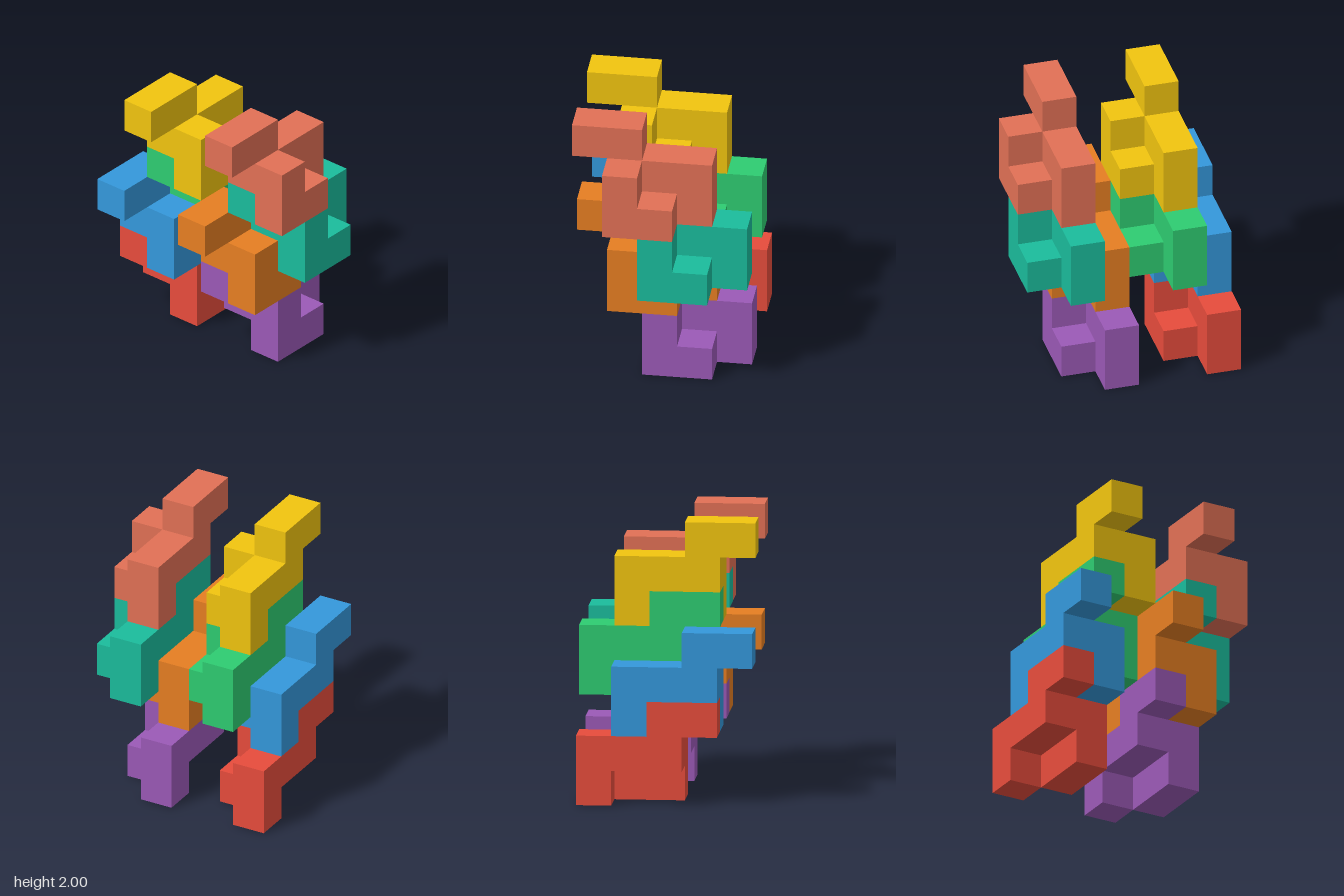
import * as THREE from 'three';
import { mergeGeometries } from 'three/addons/utils/BufferGeometryUtils.js';

const U = 0.25; // edge of one cube cell

// Slab one cell wide, cut from a [z, y] outline and placed in the given x column
function slab(outline, column) {
  const shape = new THREE.Shape(outline.map(([z, y]) => new THREE.Vector2(z, y)));
  const geo = new THREE.ExtrudeGeometry(shape, { depth: 1, bevelEnabled: false });
  geo.rotateY(-Math.PI / 2); // outline runs along z, depth along -x
  geo.translate(column + 1, 0, 0);
  return geo.scale(U, U, U);
}

// Interlocking piece: a stepped S slab joined to a smaller L slab
function pieceGeometry() {
  const stepped = [[0, 0], [1, 0], [1, 1], [3, 1], [3, 2], [4, 2], [4, 3], [2, 3], [2, 2], [0, 2]];
  const hook = [[1, 0], [3, 0], [3, 2], [2, 2], [2, 1], [1, 1]];
  return mergeGeometries([slab(stepped, 0), slab(hook, 1)]);
}

export function createModel() {
  const model = new THREE.Group();
  model.name = 'interlockingBlocks';
  const geometry = pieceGeometry();

  // name, colour, x and y of the lower corner in cells, set back by one cell or not
  const pieces = [
    ['redPiece', 0xe74c3c, -3, 0, true],
    ['bluePiece', 0x3498db, -3, 2, false],
    ['greenPiece', 0x2ecc71, -2, 3, true],
    ['yellowPiece', 0xf1c40f, -2, 5, false],
    ['purplePiece', 0x9b59b6, 0, 0, true],
    ['orangePiece', 0xe67e22, 0, 2, false],
    ['tealPiece', 0x1abc9c, 1, 3, true],
    ['coralPiece', 0xe17055, 1, 5, false],
  ];
  for (const [name, color, x, y, back] of pieces) {
    const mesh = new THREE.Mesh(geometry, new THREE.MeshStandardMaterial({ color }));
    mesh.name = name;
    mesh.position.set(x * U, y * U, (back ? -2.5 : -1.5) * U);
    model.add(mesh);
  }
  return model;
}
